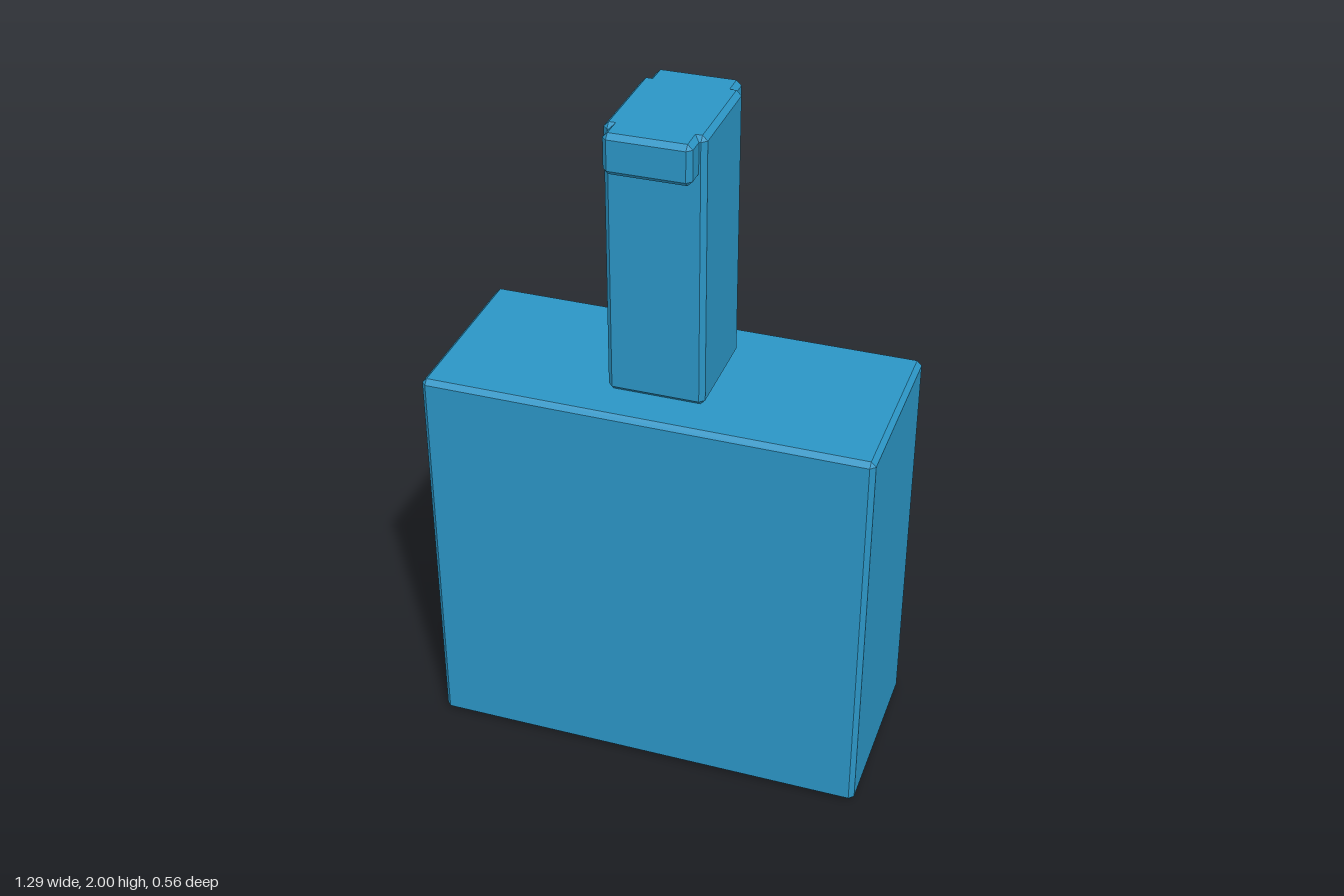
import * as THREE from 'three';
import { ConvexGeometry } from 'three/addons/geometries/ConvexGeometry.js';

const BEVEL = 0.014;
const material = new THREE.MeshStandardMaterial({ color: 0x2b95c5 });

// Box with every edge cut by one flat chamfer: three inset points at each corner
function chamferedBox(name, width, height, depth, bottom) {
  const half = [width / 2, height / 2, depth / 2];
  const points = [];
  for (const sx of [-1, 1]) for (const sy of [-1, 1]) for (const sz of [-1, 1]) {
    const sign = [sx, sy, sz];
    for (let full = 0; full < 3; full++) {
      const p = half.map((h, axis) => sign[axis] * (axis === full ? h : h - BEVEL));
      points.push(new THREE.Vector3(...p));
    }
  }
  const mesh = new THREE.Mesh(new ConvexGeometry(points), material);
  mesh.name = name;
  mesh.position.y = bottom + height / 2;
  return mesh;
}

export function createModel() {
  const model = new THREE.Group();
  model.name = 'blockWithHandle';
  model.add(
    // Large block, upright handle, and the bar crossing the handle's top
    chamferedBox('block', 1.294, 1.2, 0.556, 0),
    chamferedBox('handle', 0.278, 0.8, 0.314, 1.2),
    chamferedBox('crossbar', 0.24, 0.115, 0.437, 1.885)
  );
  return model;
}
